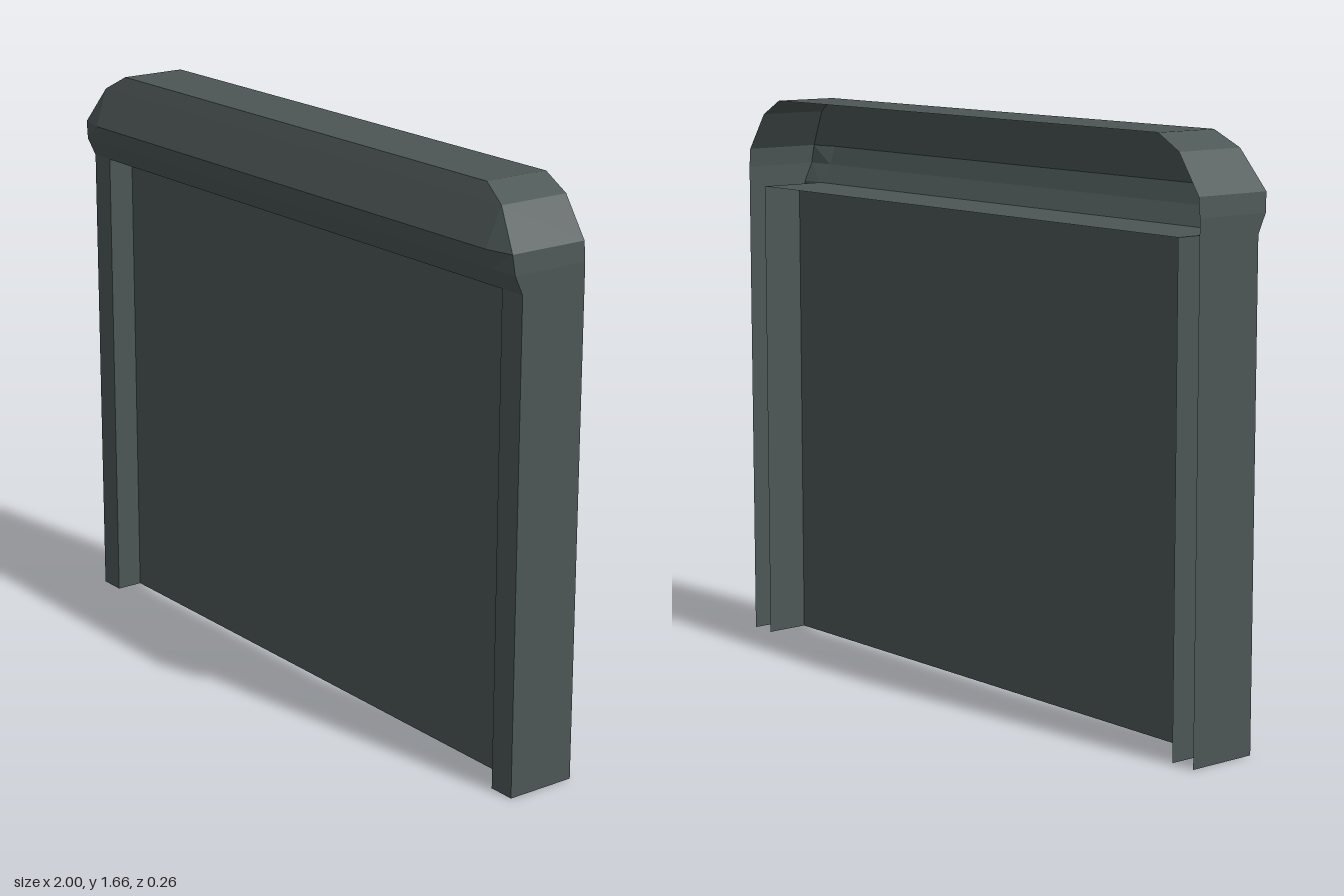
import * as THREE from 'three';

// Surface joining consecutive rows of points, each quad with its own flat corners
function loft(rows) {
  const pos = [];
  for (let r = 0; r < rows.length - 1; r++) {
    const a = rows[r], b = rows[r + 1];
    for (let i = 0; i < a.length - 1; i++) {
      pos.push(...a[i], ...a[i + 1], ...b[i + 1], ...a[i], ...b[i + 1], ...b[i]);
    }
  }
  const geo = new THREE.BufferGeometry();
  geo.setAttribute('position', new THREE.Float32BufferAttribute(pos, 3));
  geo.computeVertexNormals();
  return geo;
}

// Extends a row of right-hand points to the left side by mirroring
const mirrorRow = (pts) => [...pts.map(([x, y, z]) => [-x, y, z]), ...pts.slice().reverse()];
const atDepth = (row, z) => row.map(([x, y]) => [x, y, z]);

export function createModel() {
  const group = new THREE.Group();
  const slate = new THREE.MeshStandardMaterial({ color: 0x4c5655 });
  slate.name = 'darkSlate';
  slate.side = THREE.DoubleSide;
  slate.flatShading = true;

  const add = (name, geo) => {
    const mesh = new THREE.Mesh(geo, slate);
    mesh.name = name;
    group.add(mesh);
  };

  const back = -0.13, face = 0.08, panelZ = 0.0;
  const inner = 0.92, sill = 1.4, outer = 1;

  // Outer casing: side walls, bevelled shoulders and flat top, open at the back
  const rim = mirrorRow([
    [outer, 0, face], [outer, sill, face], [outer, 1.455, 0.106],
    [0.995, 1.51, 0.112], [0.92, 1.62, 0.088], [0.84, 1.665, 0.07],
  ]);
  add('outerCasing', loft([rim, atDepth(rim, back)]));

  // Projecting lintel with a ridge and chamfered ends
  add('lintel', loft([
    mirrorRow([[outer, sill, face], [inner, sill, face]]),
    mirrorRow([[outer, 1.455, 0.106], [0.91, 1.455, 0.111]]),
    mirrorRow([[0.995, 1.51, 0.112], [0.91, 1.51, 0.13]]),
    mirrorRow([[0.92, 1.62, 0.088], [0.92, 1.62, 0.088]]),
    mirrorRow([[0.84, 1.665, 0.07], [0.84, 1.665, 0.07]]),
  ]));

  // Front faces of the two posts
  for (const [name, x0, x1] of [['rightPost', -outer, -inner], ['leftPost', inner, outer]]) {
    add(name, loft([
      [[x0, 0, face], [x1, 0, face]],
      [[x0, sill, face], [x1, sill, face]],
    ]));
  }

  // Lining of the opening: two jambs and a soffit
  const opening = mirrorRow([[inner, 0, face], [inner, sill, face]]);
  add('openingLining', loft([atDepth(opening, back), opening]));

  // Recessed panel
  add('recessedPanel', loft([
    [[-inner, 0, panelZ], [inner, 0, panelZ]],
    [[-inner, sill, panelZ], [inner, sill, panelZ]],
  ]));

  return group;
}
